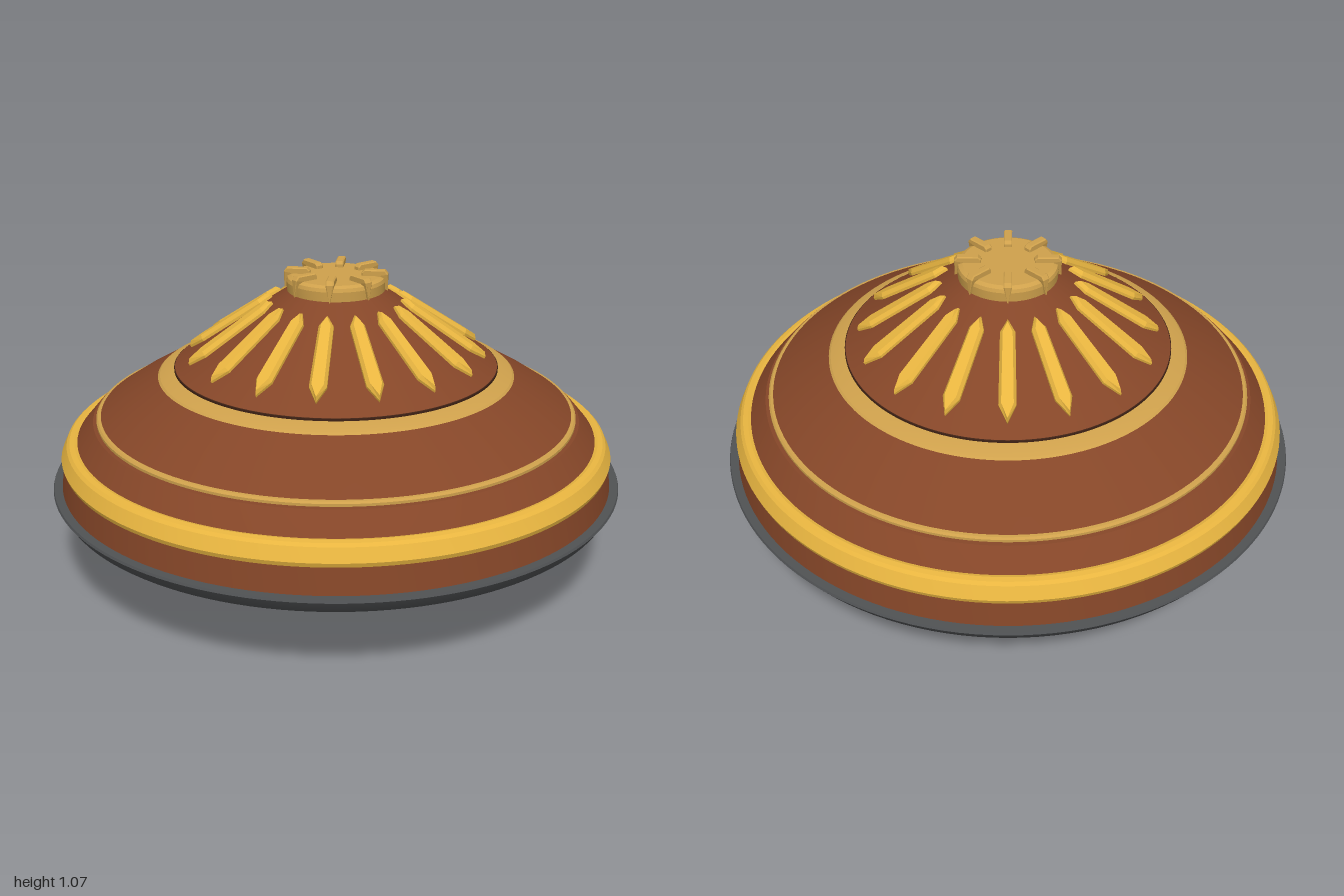
import * as THREE from 'three';
import { toCreasedNormals } from 'three/addons/utils/BufferGeometryUtils.js';

const material = (color) => new THREE.MeshStandardMaterial({ color });
const brown = material(0x854628);
const darkBrown = material(0x3d2114);
const gold = material(0xe8b540);
const paleGold = material(0xcfa14c);
const steel = material(0x505254);

// Turned part from [radius, height] pairs listed bottom to top
function turned(name, profile, mat, segments = 128) {
  const points = profile.map(([r, y]) => new THREE.Vector2(r, y));
  const mesh = new THREE.Mesh(toCreasedNormals(new THREE.LatheGeometry(points, segments), 0.35), mat);
  mesh.name = name;
  return mesh;
}

const polygon = (points) => new THREE.Shape(points.map(([x, y]) => new THREE.Vector2(x, y)));

// Copies of one geometry spread evenly round the axis
function ringOf(name, geometry, mat, count) {
  const group = new THREE.Group();
  group.name = name + 's';
  for (let i = 0; i < count; i++) {
    const mesh = new THREE.Mesh(geometry, mat);
    mesh.name = name;
    mesh.rotation.y = (i / count) * Math.PI * 2;
    group.add(mesh);
  }
  return group;
}

// Shallow pleated cone: the pleats fade out towards the hub and the rim
function pleatedUnderside() {
  const curve = new THREE.CatmullRomCurve3([
    [0.09, 0.122], [0.17, 0.152], [0.28, 0.185], [0.47, 0.225], [0.73, 0.28], [0.965, 0.32],
  ].map(([r, y]) => new THREE.Vector3(r, y, 0)));
  const points = curve.getPoints(28).map((p) => new THREE.Vector2(p.x, p.y));
  const geometry = new THREE.LatheGeometry(points, 320);
  const pos = geometry.attributes.position;
  for (let i = 0; i < pos.count; i++) {
    const x = pos.getX(i), z = pos.getZ(i);
    const t = THREE.MathUtils.clamp((Math.hypot(x, z) - 0.09) / 0.6, 0, 1);
    const depth = 0.026 * Math.sin(Math.PI * Math.pow(t, 0.7));
    pos.setY(i, pos.getY(i) + depth * Math.abs(Math.sin(20 * Math.atan2(x, z))));
  }
  geometry.computeVertexNormals();
  const mesh = new THREE.Mesh(toCreasedNormals(geometry, 0.5), darkBrown);
  mesh.name = 'pleatedUnderside';
  return mesh;
}

// Long pointed stud lying on the slope of the upper cone
function studGeometry() {
  const outline = polygon([
    [-0.162, 0], [-0.128, -0.016], [0.115, -0.02], [0.165, 0], [0.115, 0.02], [-0.128, 0.016],
  ]);
  const geometry = new THREE.ExtrudeGeometry(outline, {
    depth: 0.012, bevelThickness: 0.013, bevelSize: 0.009, bevelSegments: 1,
  });
  geometry.rotateX(-Math.PI / 2);
  geometry.rotateZ(-Math.atan2(0.26, 0.39));
  geometry.translate(0.365, 0.866, 0);
  return geometry;
}

// Claw that runs across the cap, folds over its edge and narrows to a point
function clawGeometry() {
  const side = polygon([
    [0.092, 1.045], [0.176, 1.005], [0.176, 1.06], [0.167, 1.071], [0.1, 1.071], [0.092, 1.063],
  ]);
  const geometry = new THREE.ExtrudeGeometry(side, {
    depth: 0.02, bevelThickness: 0.004, bevelSize: 0.003, bevelSegments: 1,
  });
  geometry.translate(0, 0, -0.01);
  const pos = geometry.attributes.position;
  for (let i = 0; i < pos.count; i++) {
    const taper = THREE.MathUtils.clamp((pos.getY(i) - 0.998) / 0.045, 0.15, 1);
    pos.setZ(i, pos.getZ(i) * taper);
  }
  geometry.computeVertexNormals();
  return geometry;
}

export function createModel() {
  const model = new THREE.Group();
  model.name = 'spinningTop';

  // Underside, hub and point
  model.add(pleatedUnderside());
  model.add(turned('tip', [[0, 0], [0.008, 0.008], [0.043, 0.095], [0.043, 0.11]], steel, 32));
  model.add(turned('hub', [[0, 0.104], [0.1, 0.104], [0.105, 0.109], [0.105, 0.128], [0.1, 0.132], [0, 0.132]], steel, 64));

  // Outer rim
  model.add(turned('rim', [
    [0.945, 0.325], [0.95, 0.287], [0.963, 0.285], [0.972, 0.292], [1, 0.333], [0.997, 0.341], [0.96, 0.341],
  ], steel));

  // Stepped wooden body
  model.add(turned('body', [
    [0.97, 0.33], [0.955, 0.435], [0.91, 0.495], [0.85, 0.565], [0.825, 0.567], [0.825, 0.582],
    [0.735, 0.642], [0.62, 0.708], [0.56, 0.712], [0.56, 0.742], [0.545, 0.75], [0.165, 1.003], [0, 1.003],
  ], brown));

  // Gold bands and the dark groove above them
  model.add(turned('wideBand', [
    [0.945, 0.428], [0.96, 0.43], [0.965, 0.445], [0.945, 0.488], [0.935, 0.497], [0.918, 0.5], [0.9, 0.496],
  ], gold));
  model.add(turned('thinBand', [
    [0.82, 0.567], [0.838, 0.568], [0.838, 0.577], [0.832, 0.583], [0.81, 0.585],
  ], paleGold));
  model.add(turned('upperBand', [
    [0.6, 0.706], [0.62, 0.709], [0.613, 0.715], [0.57, 0.731], [0.55, 0.733],
  ], paleGold));
  model.add(turned('groove', [[0.55, 0.731], [0.563, 0.733], [0.563, 0.74], [0.55, 0.746]], darkBrown));

  // Radiating studs
  model.add(ringOf('stud', studGeometry(), gold, 16));

  // Cap with claws
  model.add(turned('cap', [
    [0.16, 0.998], [0.168, 1.002], [0.17, 1.035], [0.166, 1.047], [0.152, 1.054], [0, 1.054],
  ], paleGold, 64));
  model.add(ringOf('claw', clawGeometry(), paleGold, 8));

  return model;
}
